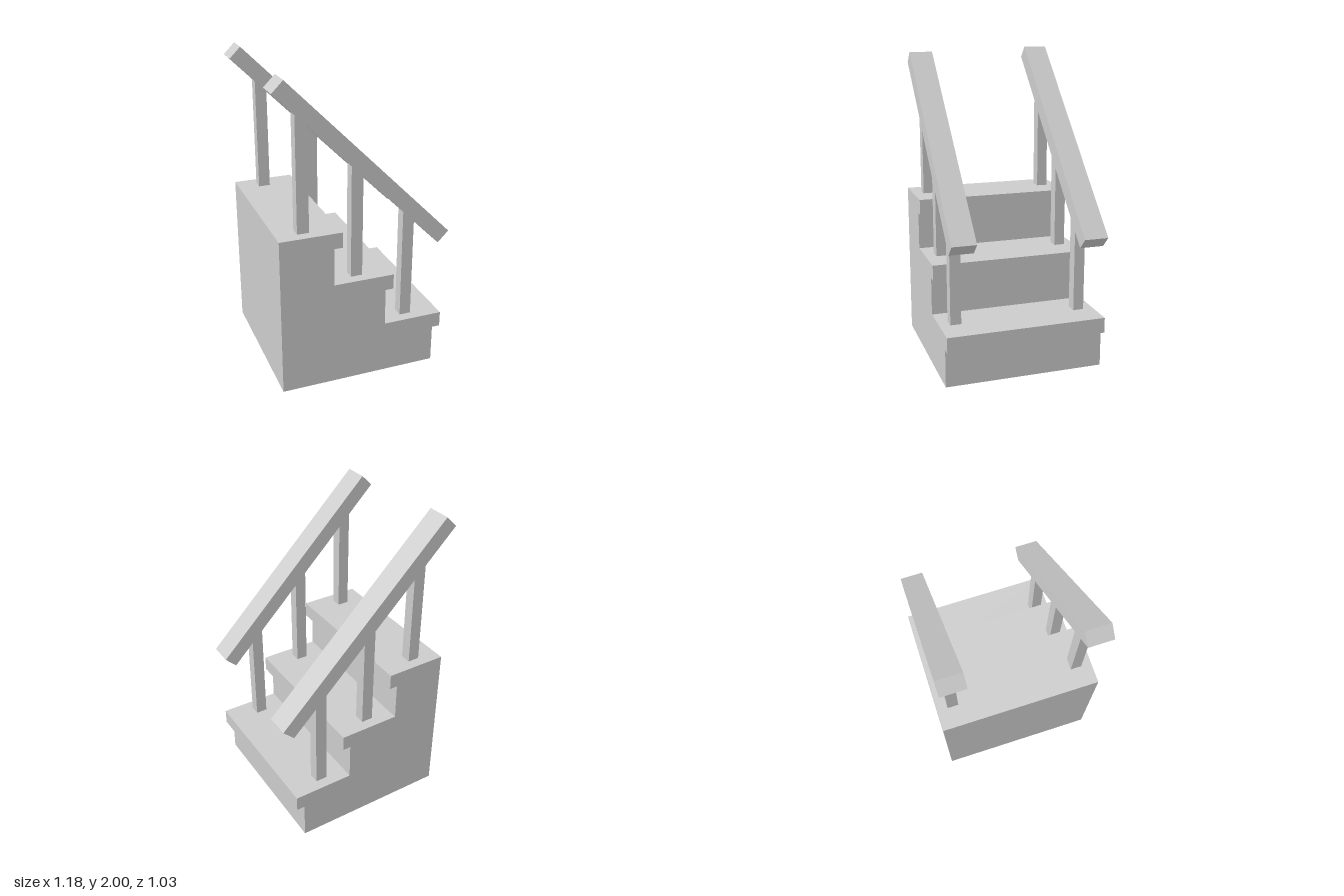
import * as THREE from 'three';

const material = new THREE.MeshStandardMaterial({ color: 0xcccccc, flatShading: true });

function addBox(group, name, size, position) {
  const mesh = new THREE.Mesh(new THREE.BoxGeometry(...size), material);
  mesh.name = name;
  mesh.position.set(...position);
  group.add(mesh);
  return mesh;
}

export function createModel() {
  const group = new THREE.Group();
  group.name = 'stairs';

  const steps = 3, rise = 0.345, run = 0.3425;
  const backX = -0.555, frontX = 0.525, nosing = 0.053, treadThickness = 0.1;
  const depth = 1.03;

  // Solid stair block: each step is a riser with an overhanging tread
  const profile = new THREE.Shape();
  profile.moveTo(backX, 0);
  for (let i = 0; i < steps; i++) {
    const edge = frontX - i * run, top = (i + 1) * rise;
    profile.lineTo(edge - nosing, i * rise);
    profile.lineTo(edge - nosing, top - treadThickness);
    profile.lineTo(edge, top - treadThickness);
    profile.lineTo(edge, top);
  }
  profile.lineTo(backX, steps * rise);
  profile.closePath();
  const geometry = new THREE.ExtrudeGeometry(profile, { depth, bevelEnabled: false });
  geometry.translate(0, 0, -depth / 2);
  const block = new THREE.Mesh(geometry, material);
  block.name = 'steps';
  group.add(block);

  // A sloping handrail on each side, with one post per step
  const railY = 1.41, postWidth = 0.075;
  for (const [side, z, length] of [['front', 0.412, 1.495], ['back', -0.412, 1.565]]) {
    const rail = addBox(group, side + 'Handrail', [length, 0.1, 0.154], [0, railY, z]);
    rail.rotation.z = -Math.PI / 4;

    for (let i = 0; i < steps; i++) {
      const x = 0.303 - i * 0.344;
      const bottom = (i + 1) * rise, top = railY - x;
      addBox(group, side + 'Post' + (i + 1), [postWidth, top - bottom, 0.07], [x, (top + bottom) / 2, z]);
    }
  }
  return group;
}
